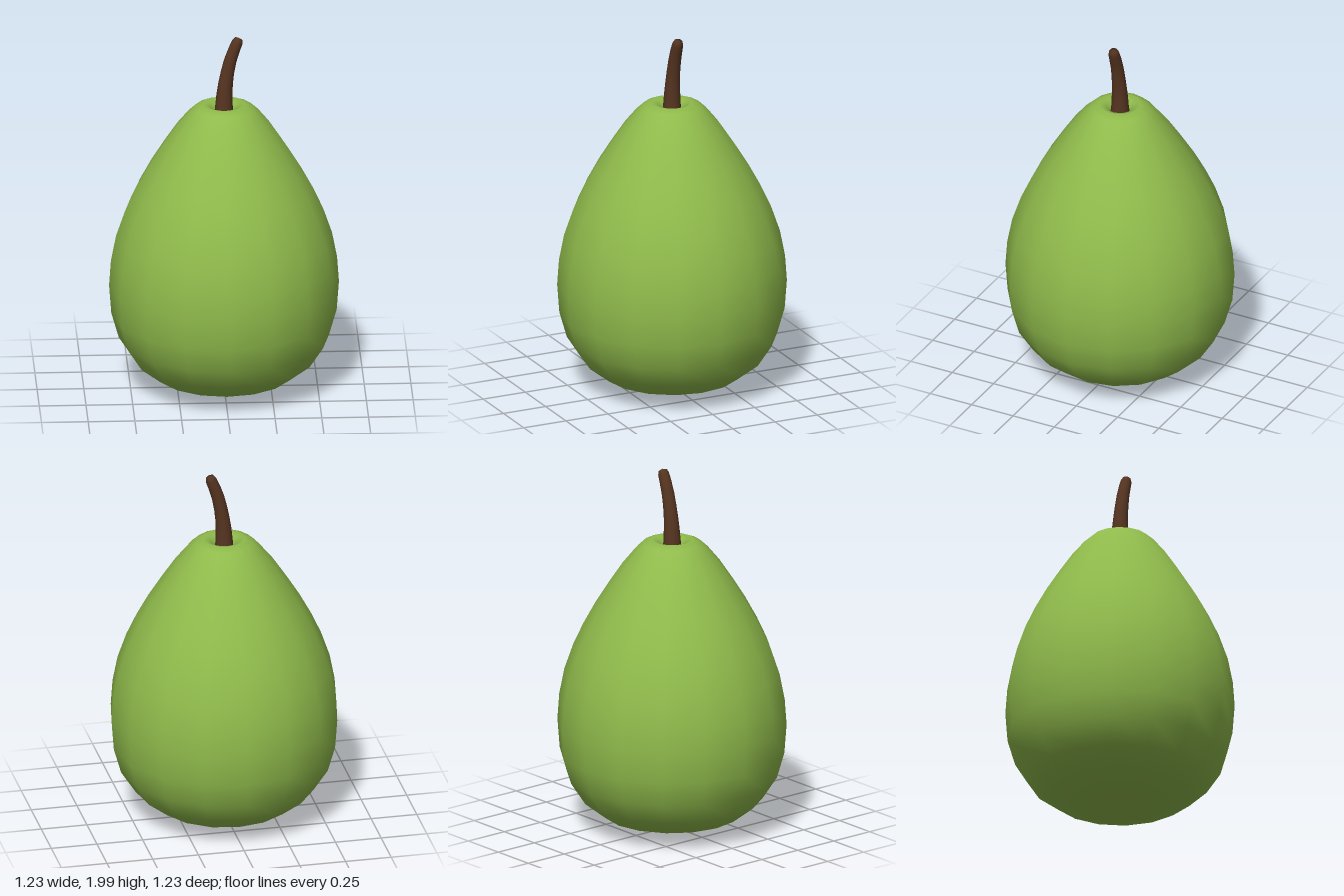
import * as THREE from 'three';

const skin = new THREE.MeshStandardMaterial({ color: 0x8fba4b });
skin.name = 'pear green';
const bark = new THREE.MeshStandardMaterial({ color: 0x573521 });
bark.name = 'stem brown';

const lathe = (profile, sides) =>
  new THREE.LatheGeometry(profile.map(([r, y]) => new THREE.Vector2(r, y)), sides);

// Fruit: faceted outline with a shallow pit around the stem
function createFruit() {
  const profile = [
    [0, 0], [0.2, 0.025], [0.37, 0.08], [0.485, 0.17], [0.563, 0.29], [0.603, 0.43],
    [0.615, 0.59], [0.605, 0.73], [0.578, 0.87], [0.53, 1.01], [0.475, 1.13],
    [0.41, 1.25], [0.335, 1.37], [0.265, 1.475], [0.2, 1.555], [0.155, 1.597],
    [0.11, 1.615], [0.075, 1.602], [0.054, 1.575], [0.035, 1.54], [0, 1.52],
  ];
  const mesh = new THREE.Mesh(lathe(profile, 16), skin);
  mesh.name = 'fruit';
  return mesh;
}

// Stem: a tapered turned shape, then bent along a curve leaning to +x
function createStem() {
  const profile = [
    [0, 0], [0.053, 0], [0.05, 0.08], [0.046, 0.16], [0.043, 0.28], [0.039, 0.42], [0.036, 0.56],
    [0.034, 0.7], [0.032, 0.84], [0.03, 0.94], [0.023, 0.985], [0, 1],
  ];
  const geometry = lathe(profile, 12);
  const path = new THREE.CatmullRomCurve3([
    [0, 1.54], [0, 1.62], [0.009, 1.735], [0.035, 1.867], [0.08, 1.989],
  ].map(([x, y]) => new THREE.Vector3(x, y, 0)));
  const pos = geometry.attributes.position;
  const nor = geometry.attributes.normal;
  for (let i = 0; i < pos.count; i++) {
    const t = THREE.MathUtils.clamp(pos.getY(i), 0, 1);
    const c = path.getPointAt(t);
    const d = path.getTangentAt(t);
    const r = pos.getX(i);
    pos.setXYZ(i, c.x + d.y * r, c.y - d.x * r, pos.getZ(i));
    // turn the normals with the bend
    const nx = nor.getX(i), ny = nor.getY(i);
    nor.setXY(i, nx * d.y + ny * d.x, ny * d.y - nx * d.x);
  }
  const mesh = new THREE.Mesh(geometry, bark);
  mesh.name = 'stem';
  return mesh;
}

export function createModel() {
  const group = new THREE.Group();
  group.name = 'pear';
  group.add(createFruit(), createStem());
  return group;
}
